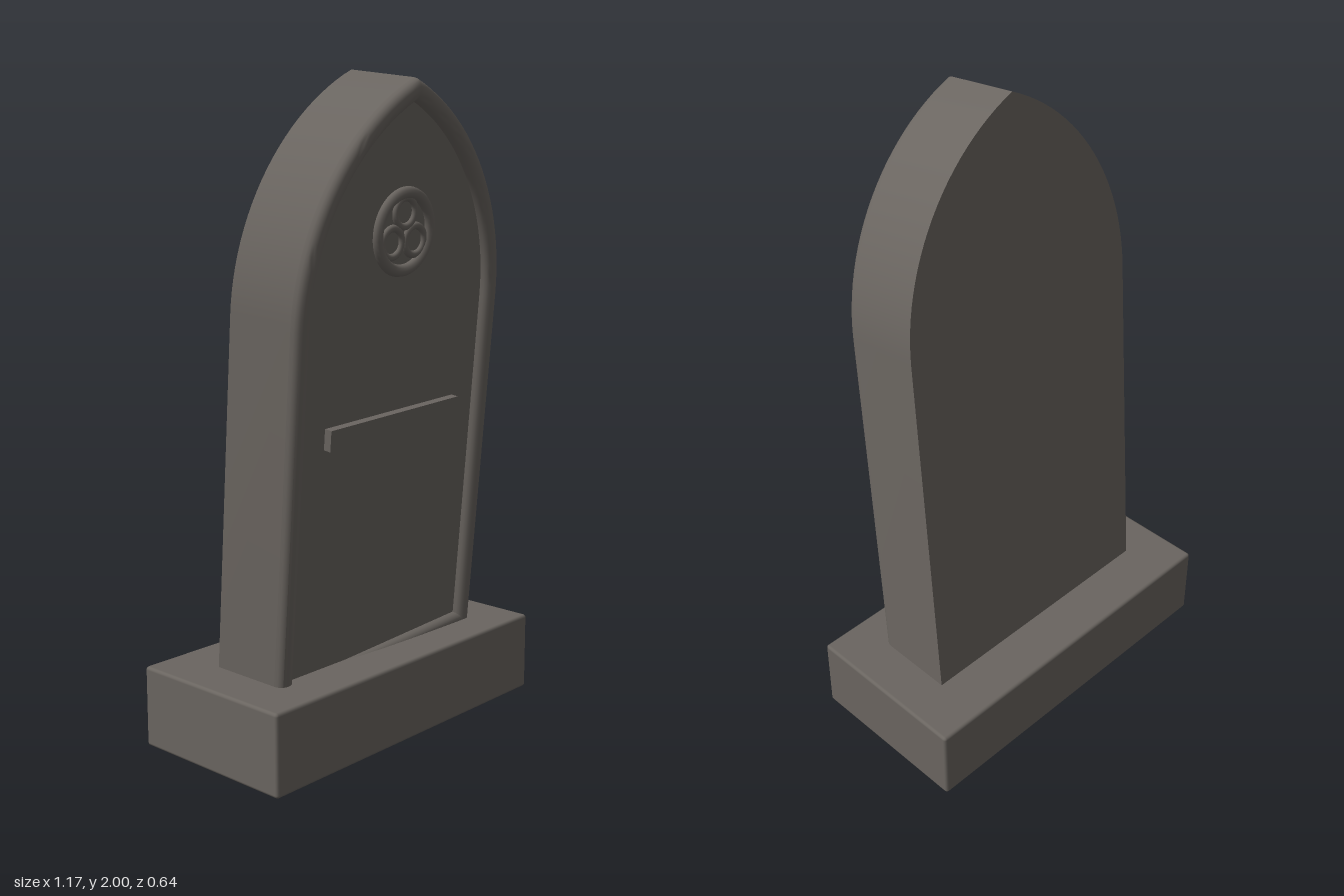
import * as THREE from 'three';
import { toCreasedNormals } from 'three/addons/utils/BufferGeometryUtils.js';
import { RoundedBoxGeometry } from 'three/addons/geometries/RoundedBoxGeometry.js';

const HALF = 0.44, SPRING = 1.105, BOTTOM = -0.022, RADIUS = 0.715, DEPTH = 0.235;

// Pointed-arch outline, counterclockwise, shrunk inwards by `inset`
function archOutline(inset, steps = 24) {
  const r = RADIUS - inset, c = RADIUS - HALF, end = Math.acos(c / r);
  const right = [new THREE.Vector2(HALF - inset, BOTTOM + inset)];
  for (let i = 0; i <= steps; i++) {
    const a = end * i / steps;
    right.push(new THREE.Vector2(i === steps ? 0 : r * Math.cos(a) - c, SPRING + r * Math.sin(a)));
  }
  const left = right.slice(0, -1).reverse().map(p => new THREE.Vector2(-p.x, p.y));
  return [...right, ...left];
}

// Rounded border moulding: half-round profile swept round the arch
function borderGeometry(width, height, steps = 10) {
  const positions = [], index = [];
  let n = 0;
  for (let j = 0; j <= steps; j++) {
    const a = Math.PI * j / steps, s = Math.pow(Math.max(0, Math.sin(a)), 0.8);
    const loop = archOutline(width * (1 - Math.cos(a)) / 2);
    n = loop.length;
    loop.forEach(p => positions.push(p.x, p.y, DEPTH + height * s));
  }
  for (let j = 0; j < steps; j++) {
    for (let i = 0; i < n; i++) {
      const k = (i + 1) % n, a = j * n + i, b = j * n + k;
      index.push(a, b, b + n, a, b + n, a + n);
    }
  }
  const g = new THREE.BufferGeometry();
  g.setAttribute('position', new THREE.Float32BufferAttribute(positions, 3));
  g.setIndex(index);
  return toCreasedNormals(g, 0.65);
}

export function createModel() {
  const stone = new THREE.MeshStandardMaterial({ color: 0x6a6560 });
  stone.name = 'stone';
  const model = new THREE.Group();
  model.name = 'gravestone';

  const add = (parent, name, geometry, x = 0, y = 0, z = 0) => {
    const mesh = new THREE.Mesh(geometry, stone);
    mesh.name = name;
    mesh.position.set(x, y, z);
    parent.add(mesh);
    return mesh;
  };

  // Plinth
  add(model, 'plinth', new RoundedBoxGeometry(1.17, 0.25, 0.56, 2, 0.01), 0, 0.125, -0.043);

  // Leaning headstone: rolled sideways, then tipped forwards
  const headstone = new THREE.Group();
  headstone.name = 'headstone';
  headstone.position.set(0, 0.25, -0.155);
  headstone.rotation.set(0.123, 0, 0.05);
  model.add(headstone);

  const slab = new THREE.ExtrudeGeometry(new THREE.Shape(archOutline(0)), { depth: DEPTH, bevelEnabled: false });
  add(headstone, 'slab', toCreasedNormals(slab, 0.5));
  add(headstone, 'border', borderGeometry(0.058, 0.031));

  // Raised bar across the face
  add(headstone, 'bar', new THREE.BoxGeometry(0.565, 0.063, 0.05), 0, 0.77, DEPTH);

  // Trefoil medallion: one large ring holding three small ones
  const medallion = new THREE.Group();
  medallion.name = 'medallion';
  medallion.position.set(0, 1.335, DEPTH);
  headstone.add(medallion);
  add(medallion, 'outerRing', new THREE.TorusGeometry(0.112, 0.018, 12, 48));
  for (let i = 0; i < 3; i++) {
    const a = Math.PI / 2 + i * Math.PI * 2 / 3;
    add(medallion, 'foilRing', new THREE.TorusGeometry(0.042, 0.011, 10, 32), 0.056 * Math.cos(a), 0.056 * Math.sin(a));
  }
  return model;
}
